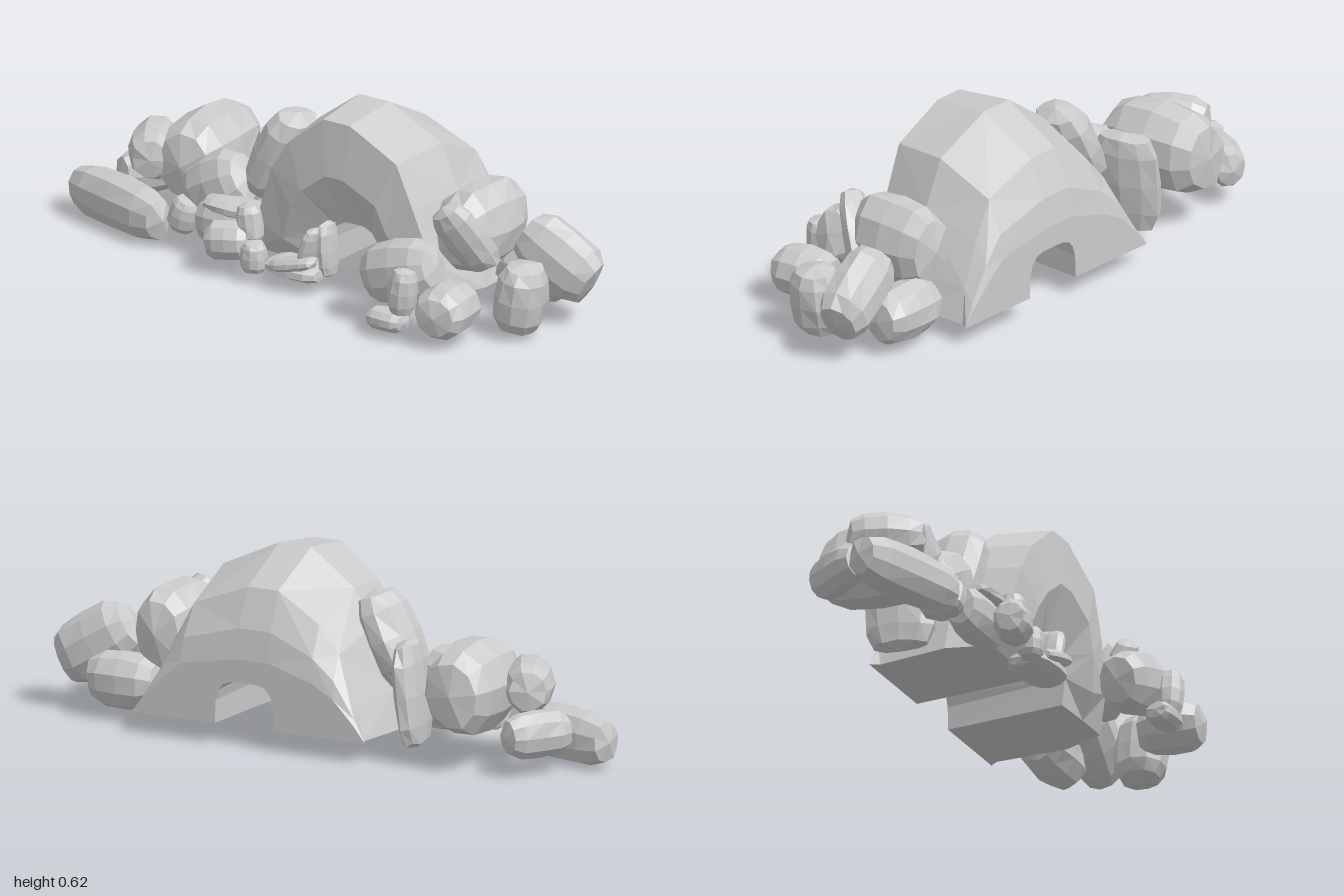
import * as THREE from 'three';

const stone = new THREE.MeshStandardMaterial({ color: 0xcccccc, flatShading: true });

// Repeatable offset in -0.5..0.5 from a position, so seam vertices stay together
function noise(x, y, z, seed) {
  const r = (v) => Math.round(v * 50);
  const s = Math.sin(r(x) * 12.99 + r(y) * 78.23 + r(z) * 37.72 + seed * 4.13) * 43758.55;
  return s - Math.floor(s) - 0.5;
}

// Faceted rock, a blunt barrel whose panels run along its longest axis
function addRock(pile, name, x, y, z, size, turn = [0, 0, 0]) {
  const [a, b, c] = size;
  const geo = new THREE.SphereGeometry(1, 10, 6);
  const pos = geo.attributes.position;
  const seed = pile.children.length + 1;
  const p = new THREE.Vector3();
  for (let i = 0; i < pos.count; i++) {
    p.fromBufferAttribute(pos, i);
    const k = 0.99 + 0.08 * noise(p.x, p.y, p.z, seed);
    const r = Math.hypot(p.x, p.z);
    const widen = r > 0.01 ? r ** -0.5 : 1;
    pos.setXYZ(i, p.x * widen * k, Math.sign(p.y) * Math.abs(p.y) ** 0.8 * k, p.z * widen * k);
  }
  if (a >= b && a >= c) geo.rotateZ(Math.PI / 2);
  else if (c >= b) geo.rotateX(Math.PI / 2);
  geo.scale(a, b, c);
  geo.computeVertexNormals();
  const mesh = new THREE.Mesh(geo, stone);
  mesh.name = name;
  mesh.position.set(x, y, z);
  mesh.rotation.set(...turn);
  pile.add(mesh);
}

// Rock arch: rings of points swept over the outside, through the tunnel and back
function caveArch() {
  const floor = 0.075, mid = 0.165;
  const outer = [[-0.27, floor], [-0.23, 0.2], [-0.15, 0.4], [-0.07, 0.51], [0.09, 0.625],
    [0.21, 0.625], [0.42, 0.53], [0.49, 0.38], [0.56, 0.2], [0.6, floor]];
  const n = outer.length;
  // Squared-off arch for the tunnel
  const inner = outer.map((_, i) => {
    const angle = (Math.PI * i) / (n - 1), c = Math.cos(angle);
    return [0.18 - 0.11 * Math.sign(c) * Math.abs(c) ** 0.5, floor + 0.175 * Math.abs(Math.sin(angle)) ** 0.6];
  });
  inner[n - 1][1] = floor;
  // Each ring: profile, z, width scale, height scale, how far the feet step back
  const rings = [
    [outer, -0.36, 1, 0.4, 0], [outer, -0.345, 0.98, 0.58, 0.01], [outer, -0.29, 0.95, 0.81, 0.04],
    [outer, -0.09, 0.99, 1, 0], [outer, 0.115, 0.88, 0.955, 0.06], [outer, 0.135, 0.6, 0.62, 0.08],
    [inner, 0.07, 1, 1, 0.02], [inner, -0.36, 1, 0.83, 0],
  ];
  const verts = [], index = [];
  for (const [profile, z, sx, sy, step] of rings) {
    profile.forEach(([x, y], i) => {
      const t = Math.abs((2 * i) / (n - 1) - 1);
      verts.push(mid + (x - mid) * sx, floor + (y - floor) * sy, z - step * t ** 4);
    });
  }
  for (let r = 0; r < rings.length; r++) {
    const s = (r + 1) % rings.length;
    for (let i = 0; i < n - 1; i++) {
      const a = r * n + i, b = a + 1, c = s * n + i, d = c + 1;
      if ((r + i) % 2) index.push(a, c, b, b, c, d);
      else index.push(a, c, d, a, d, b);
    }
  }
  // Flat undersides of the two legs
  for (const end of [0, n - 1]) {
    const foot = rings.map((_, r) => new THREE.Vector2(verts[(r * n + end) * 3], verts[(r * n + end) * 3 + 2]));
    for (const tri of THREE.ShapeUtils.triangulateShape(foot, [])) {
      const [p, q, w] = tri.map((k) => foot[k]);
      const facesDown = (q.x - p.x) * (w.y - p.y) - (q.y - p.y) * (w.x - p.x) > 0;
      const order = facesDown ? tri : [...tri].reverse();
      index.push(...order.map((k) => k * n + end));
    }
  }
  const geo = new THREE.BufferGeometry();
  geo.setAttribute('position', new THREE.Float32BufferAttribute(verts, 3));
  geo.setIndex(index);
  geo.computeVertexNormals();
  const mesh = new THREE.Mesh(geo, stone);
  mesh.name = 'caveArch';
  return mesh;
}

// Long, low pile on the -x side
function rightPile() {
  const pile = new THREE.Group();
  pile.name = 'rightPile';
  addRock(pile, 'longFlatBoulder', -0.775, 0.098, 0.03, [0.23, 0.095, 0.075], [0, -0.28, 0]);
  addRock(pile, 'upperOuterBoulder', -0.71, 0.27, -0.07, [0.085, 0.09, 0.13], [0, 0.5, 0]);
  addRock(pile, 'lowerOuterBoulder', -0.81, 0.14, -0.19, [0.065, 0.08, 0.12], [0, -0.5, 0]);
  addRock(pile, 'largeBoulder', -0.56, 0.265, -0.17, [0.13, 0.155, 0.195], [0, 0.1, -0.15]);
  addRock(pile, 'innerBoulder', -0.41, 0.22, -0.02, [0.125, 0.115, 0.09], [0, 0, 0.5]);
  addRock(pile, 'smallGapRock', -0.5, 0.125, 0.05, [0.055, 0.06, 0.055], [0, 0, -0.3]);
  addRock(pile, 'thinSlab', -0.35, 0.225, -0.2, [0.05, 0.18, 0.13], [0, 0.25, -0.1]);
  addRock(pile, 'leaningBlock', -0.215, 0.36, -0.08, [0.08, 0.17, 0.11], [0, 0, -0.45]);
  return pile;
}

// Small rocks before the opening
function frontPile() {
  const pile = new THREE.Group();
  pile.name = 'frontPile';
  addRock(pile, 'frontBoulder', -0.31, 0.13, 0.05, [0.13, 0.09, 0.07]);
  addRock(pile, 'capSlab', -0.29, 0.2, 0.06, [0.11, 0.03, 0.07]);
  addRock(pile, 'frontRock', -0.25, 0.12, 0.15, [0.08, 0.07, 0.065], [0, 0.3, 0.1]);
  addRock(pile, 'frontPeg', -0.19, 0.18, 0.12, [0.045, 0.07, 0.045], [0, 0, 0.15]);
  addRock(pile, 'frontPebble', -0.145, 0.09, 0.16, [0.045, 0.055, 0.045]);
  addRock(pile, 'doorstepSlab', 0, 0.07, 0.11, [0.11, 0.035, 0.08]);
  addRock(pile, 'doorstepChip', 0.01, 0.1, 0.16, [0.09, 0.025, 0.045], [0, 0, 0.25]);
  addRock(pile, 'leaningShard', 0.055, 0.155, 0.13, [0.025, 0.075, 0.05], [0, 0, -0.3]);
  addRock(pile, 'uprightShard', 0.1, 0.15, 0.09, [0.025, 0.095, 0.05], [0, 0, 0.05]);
  return pile;
}

// Rounder pile on the +x side
function leftPile() {
  const pile = new THREE.Group();
  pile.name = 'leftPile';
  addRock(pile, 'frontBoulder', 0.49, 0.2, 0.21, [0.145, 0.11, 0.09], [0, 0, 0.3]);
  addRock(pile, 'frontPeg', 0.555, 0.17, 0.3, [0.05, 0.08, 0.05], [0, 0, -0.1]);
  addRock(pile, 'frontPebble', 0.5, 0.065, 0.31, [0.07, 0.04, 0.05]);
  addRock(pile, 'cornerBoulder', 0.69, 0.12, 0.24, [0.095, 0.09, 0.11], [0, 0.15, 0]);
  addRock(pile, 'outerUpright', 0.845, 0.14, 0.055, [0.085, 0.12, 0.095], [0, 0, -0.15]);
  addRock(pile, 'outerEgg', 0.86, 0.225, -0.13, [0.15, 0.115, 0.09], [0, 0.15, -0.55]);
  addRock(pile, 'shoulderBoulder', 0.595, 0.3, -0.07, [0.115, 0.155, 0.16]);
  addRock(pile, 'leaningSlab', 0.635, 0.3, 0.07, [0.075, 0.14, 0.05], [0.4, 0.4, 0.35]);
  addRock(pile, 'backBoulder', 0.715, 0.13, -0.2, [0.13, 0.1, 0.085]);
  return pile;
}

export function createModel() {
  const model = new THREE.Group();
  model.name = 'rockCave';
  model.add(caveArch(), rightPile(), frontPile(), leftPile());
  return model;
}
